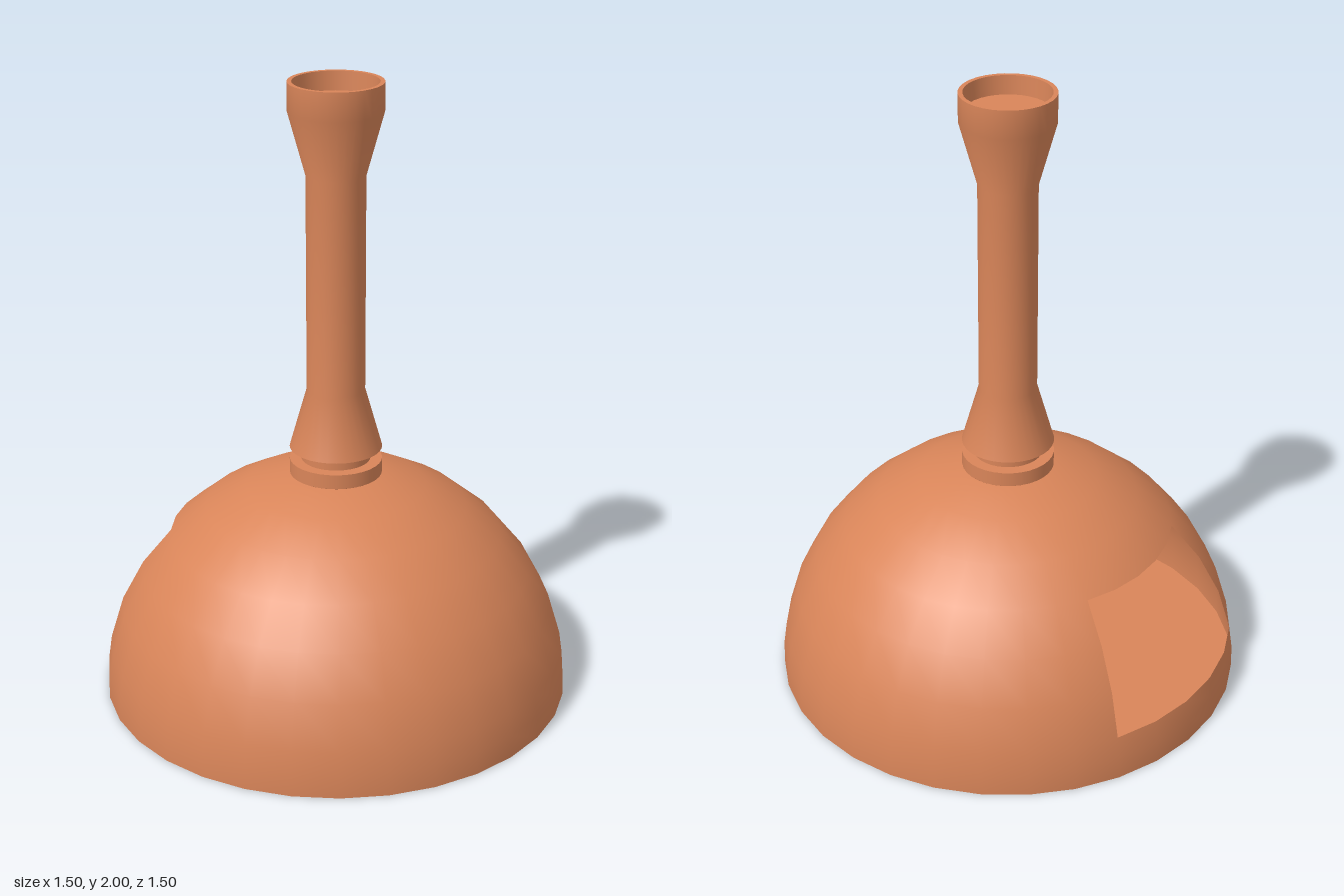
import * as THREE from 'three';

const SIDES = 32;
const R = 0.752;
const STEP = Math.PI / 16; // one facet of the dome

export function createModel() {
  const model = new THREE.Group();
  const clay = new THREE.MeshStandardMaterial({ color: 0xd98559, side: THREE.DoubleSide });

  const add = (name, geometry, parent = model) => {
    const mesh = new THREE.Mesh(geometry, clay);
    mesh.name = name;
    parent.add(mesh);
    return mesh;
  };

  // Turned part: each profile is smooth in itself, with sharp edges between profiles
  const turned = (name, profiles) => {
    const group = new THREE.Group();
    group.name = name;
    model.add(group);
    profiles.forEach((profile, i) => {
      const points = profile.map(([r, y]) => new THREE.Vector2(r, y));
      add(`${name}Surface${i + 1}`, new THREE.LatheGeometry(points, SIDES), group);
    });
  };

  // Hollow dome in three bands; the middle one leaves five facets open as the doorway
  const dome = new THREE.Group();
  dome.name = 'dome';
  model.add(dome);
  const band = (name, columns, firstRow, rows) =>
    add(name, new THREE.SphereGeometry(R, columns, rows, 0, columns * STEP, firstRow * STEP, rows * STEP), dome);
  band('domeCrown', SIDES, 1, 3);
  band('domeWall', SIDES - 5, 4, 3);
  band('domeFoot', SIDES, 7, 1);

  // Floor disc
  add('floor', new THREE.CircleGeometry(R, SIDES).rotateX(-Math.PI / 2));

  // Collar on the crown and the narrow neck above it
  turned('collar', [
    [[0.147, 0.738], [0.147, 0.785]],
    [[0.147, 0.785], [0, 0.785]],
  ]);
  turned('neck', [[[0.11, 0.785], [0.11, 0.825]]]);

  // Chimney with flared foot and head, and a shallow recess in the top
  turned('chimney', [
    [[0, 0.825], [0.147, 0.825]],
    [[0.147, 0.825], [0.092, 1.02], [0.092, 1.71], [0.147, 1.91], [0.147, 2]],
    [[0.147, 2], [0.133, 2]],
    [[0.133, 2], [0.13, 1.94]],
    [[0.13, 1.94], [0, 1.94]],
  ]);

  return model;
}
